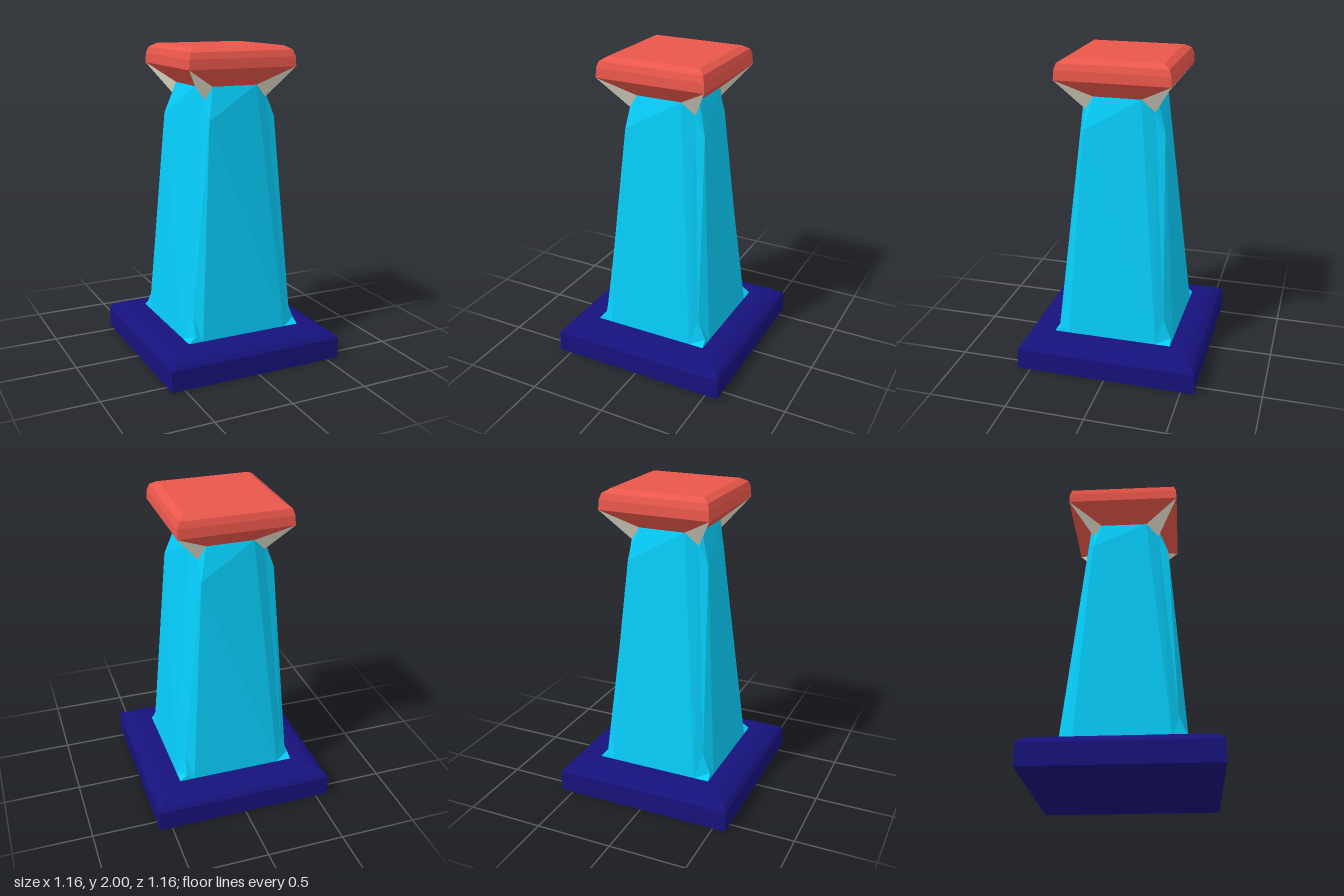
import * as THREE from 'three';

// One corner's points, turned four times about y, give a closed ring.
function ring(corner) {
  const points = [];
  for (let k = 0; k < 4; k++) {
    for (let [x, y, z] of corner) {
      for (let t = 0; t < k; t++) [x, z] = [z, -x];
      points.push(new THREE.Vector3(x, y, z));
    }
  }
  return points;
}

const squareRing = ([half, y]) => ring([[half, y, half]]);

// Flat-shaded skin through a stack of rings; keep() picks the strips to build.
// Points repeated from ring to ring simply merge strips into single triangles.
function loft(rings, { top = false, bottom = false, keep = () => true } = {}) {
  const pos = [];
  const tri = (a, b, c) => {
    const area = b.clone().sub(a).cross(c.clone().sub(a)).length();
    if (area > 1e-7) for (const p of [a, b, c]) pos.push(p.x, p.y, p.z);
  };
  const n = rings[0].length;
  for (let r = 0; r + 1 < rings.length; r++) {
    const lo = rings[r], hi = rings[r + 1];
    for (let i = 0; i < n; i++) {
      if (!keep(i)) continue;
      const j = (i + 1) % n;
      tri(lo[i], lo[j], hi[j]);
      tri(lo[i], hi[j], hi[i]);
    }
  }
  const first = rings[0], last = rings[rings.length - 1];
  for (let i = 1; i + 1 < n; i++) {
    if (top) tri(last[0], last[i], last[i + 1]);
    if (bottom) tri(first[0], first[i + 1], first[i]);
  }
  const geometry = new THREE.BufferGeometry();
  geometry.setAttribute('position', new THREE.Float32BufferAttribute(pos, 3));
  geometry.computeVertexNormals();
  return geometry;
}

export function createModel() {
  const group = new THREE.Group();
  const add = (name, geometry, color) => {
    const material = new THREE.MeshStandardMaterial({ color, flatShading: true });
    const mesh = new THREE.Mesh(geometry, material);
    mesh.name = name;
    group.add(mesh);
  };
  const red = 0xea574b, cyan = 0x06cefb, navy = 0x17127c, stone = 0xe6e2d0;

  // Square plinth with a rounded upper edge
  const plinth = [[0.582, 0], [0.582, 0.135], [0.563, 0.16], [0.52, 0.185], [0.46, 0.197]];
  add('plinth', loft(plinth.map(squareRing), { top: true, bottom: true }), navy);

  // Roughly hewn column corner: a long edge runs up its first side, a kinked
  // edge up its second, with a ridge between them and a small chip at the foot
  const foot = [0.387, 0.197, 0.387];
  const longFoot = [0.29, 0.197, 0.387], longTop = [0.15, 1.76, 0.23];
  const kinkFoot = [0.387, 0.197, 0.29], kink = [0.293, 1.56, 0.2], kinkTop = [0.23, 1.76, 0.15];
  const chip = [0.382, 0.23, 0.34], ridgeFoot = [0.33, 0.36, 0.335], ridgeTop = [0.23, 1.68, 0.2];
  const neck = ring([longTop, ridgeTop, kinkTop]);
  add('column', loft([
    ring([longFoot, foot, kinkFoot]),
    ring([longFoot, chip, kinkFoot]),
    ring([longFoot, ridgeFoot, kinkFoot]),
    ring([longFoot, ridgeFoot, kink]),
    ring([longFoot, ridgeTop, kink]),
    neck,
  ], { bottom: true }), cyan);

  // Flared underside of the cap: sloping sides with pale corner brackets
  const rim = ring(Array(3).fill([0.357, 1.875, 0.357]));
  const isSide = i => i % 3 === 2;
  add('capUnderside', loft([neck, rim], { keep: isSide }), red);
  add('cornerBrackets', loft([neck, rim], { keep: i => !isSide(i) }), stone);

  // Cap slab with bevelled top edge
  const cap = [[0.357, 1.875], [0.354, 1.935], [0.341, 1.975], [0.3, 2]];
  add('cap', loft(cap.map(squareRing), { top: true }), red);

  return group;
}
